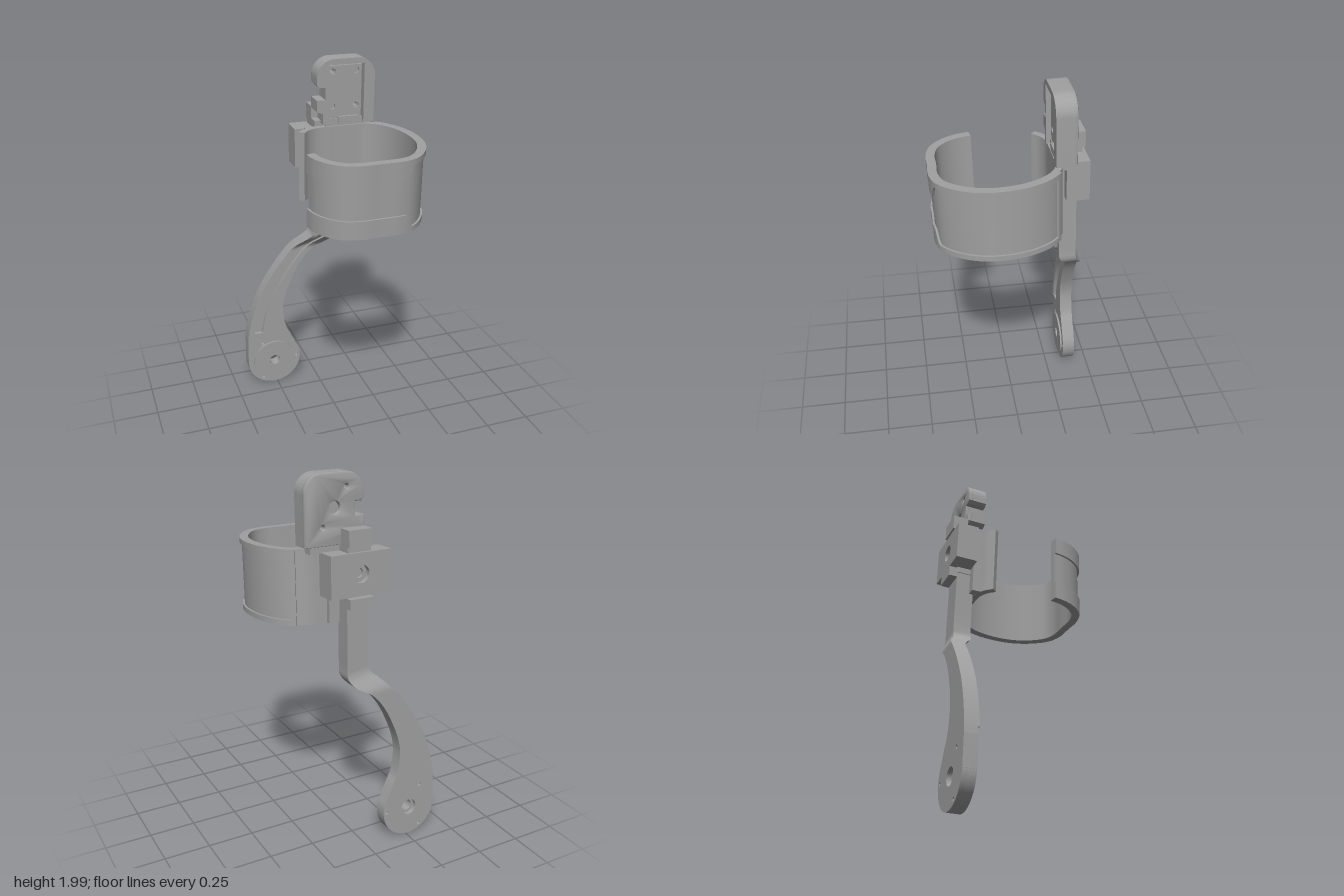
import * as THREE from 'three';
import { toCreasedNormals } from 'three/addons/utils/BufferGeometryUtils.js';

const grey = new THREE.MeshStandardMaterial({ color: 0xa0a0a0 });
grey.name = 'grey plastic';

function add(parent, name, geometry) {
  const mesh = new THREE.Mesh(geometry, grey);
  mesh.name = name;
  parent.add(mesh);
  return mesh;
}

// Box given by its limits on each axis
function box(parent, name, x0, x1, y0, y1, z0, z1) {
  const g = new THREE.BoxGeometry(x1 - x0, y1 - y0, z1 - z0);
  g.translate((x0 + x1) / 2, (y0 + y1) / 2, (z0 + z1) / 2);
  return add(parent, name, g);
}

// Extruded outline between two depths, with round holes [x, y, radius]
function plate(parent, name, shape, z0, z1, holes = [], bevel = 0) {
  const s = shape.clone();
  for (const [x, y, r] of holes) s.holes.push(new THREE.Path().absarc(x, y, r, 0, Math.PI * 2, true));
  const g = new THREE.ExtrudeGeometry(s, {
    depth: z1 - z0 - 2 * bevel, curveSegments: 20, bevelEnabled: bevel > 0,
    bevelSize: bevel, bevelOffset: -bevel, bevelThickness: bevel, bevelSegments: 2,
  });
  g.translate(0, 0, z0 + bevel);
  return add(parent, name, toCreasedNormals(g, 0.6));
}

const disc = (x, y, r) => new THREE.Shape().absarc(x, y, r, 0, Math.PI * 2, false);
const polygon = (pts) => new THREE.Shape(pts.map(([x, y]) => new THREE.Vector2(x, y)));

// Solid through four-cornered cross-sections, closed at both ends
function loft(rows) {
  const tris = [];
  const quad = (a, b, c, d) => tris.push([a, b, c], [a, c, d]);
  for (let i = 0; i + 1 < rows.length; i++) {
    for (let j = 0; j < 4; j++) {
      const k = (j + 1) % 4;
      quad(rows[i][j], rows[i][k], rows[i + 1][k], rows[i + 1][j]);
    }
  }
  const first = rows[0], last = rows[rows.length - 1];
  quad(first[3], first[2], first[1], first[0]);
  quad(last[0], last[1], last[2], last[3]);
  // Turn the faces outwards if the sections run the other way round
  let volume = 0;
  const cross = new THREE.Vector3();
  for (const [a, b, c] of tris) volume += cross.crossVectors(b, c).dot(a);
  const out = [];
  for (const [a, b, c] of tris) for (const p of volume < 0 ? [a, c, b] : [a, b, c]) out.push(p.x, p.y, p.z);
  const g = new THREE.BufferGeometry();
  g.setAttribute('position', new THREE.Float32BufferAttribute(out, 3));
  return toCreasedNormals(g, 0.6);
}

const spline = (pts) => new THREE.CatmullRomCurve3(pts.map(([x, y]) => new THREE.Vector3(x, y, 0)));

// Open wrist cuff: plan curve in x and z, thickened and raised at the rims
function buildCuff(parent) {
  const cuff = new THREE.Group();
  cuff.name = 'cuff';
  parent.add(cuff);
  const path = spline([
    [-0.135, -0.145], [-0.095, -0.183], [-0.04, -0.208], [0.05, -0.213], [0.15, -0.213], [0.24, -0.208],
    [0.29, -0.184], [0.345, -0.125], [0.388, -0.03], [0.404, 0.09], [0.39, 0.2], [0.342, 0.3],
    [0.275, 0.37], [0.2, 0.395], [0.1, 0.395], [0, 0.395], [-0.08, 0.372], [-0.14, 0.315],
    [-0.175, 0.245], [-0.187, 0.18],
  ]);
  const last = 19;
  const band = (name, from, to, inner, outer, low, high) => {
    const rows = [];
    const steps = Math.ceil((to - from) * 6);
    for (let i = 0; i <= steps; i++) {
      const s = from + ((to - from) * i) / steps;
      const p = path.getPoint(s / last), t = path.getTangent(s / last);
      const at = (d, y) => new THREE.Vector3(p.x + t.y * d, y, p.y - t.x * d);
      rows.push([at(inner, low(s)), at(outer, low(s)), at(outer, high(s)), at(inner, high(s))]);
    }
    add(cuff, name, loft(rows));
  };
  const bottom = () => 1.25, top = () => 1.632;
  // Rim grows from a thin lip on the side to a broad band at the front
  const rim = (s) => 0.028 + 0.07 * THREE.MathUtils.smoothstep(s, 12.2, 12.7);
  band('cuffWall', 0, last, -0.022, 0.012, bottom, top);
  band('upperRim', 6, last, 0.005, 0.023, (s) => 1.632 - rim(s), top);
  band('lowerRim', 6, last, 0.005, 0.023, bottom, (s) => 1.25 + rim(s));
  band('sideRim', 6, 6.3, 0.005, 0.023, bottom, top);
}

// Curved lever arm with a groove along its front
function buildArm(parent) {
  const arm = new THREE.Group();
  arm.name = 'arm';
  parent.add(arm);
  const left = spline([
    [-0.035, 1.62], [-0.035, 1.3], [-0.035, 1.04], [-0.043, 1.0], [-0.09, 0.955], [-0.16, 0.885], [-0.23, 0.8],
    [-0.3, 0.695], [-0.35, 0.6], [-0.39, 0.49], [-0.415, 0.39], [-0.423, 0.33],
  ]);
  const right = spline([
    [0.087, 1.62], [0.087, 1.3], [0.087, 1.03], [0.085, 0.97], [0.055, 0.93], [-0.035, 0.875], [-0.105, 0.79],
    [-0.16, 0.68], [-0.195, 0.58], [-0.205, 0.5], [-0.187, 0.38], [-0.163, 0.33],
  ]);
  const steps = 88;
  const depth = (y, low, high) => THREE.MathUtils.lerp(low, high, THREE.MathUtils.smoothstep(y, 0.89, 1.0));
  const back = (y) => depth(y, -0.37, -0.325);
  const front = (y) => depth(y, -0.3, -0.235);
  const floor = (y) => front(y) - 0.018;
  // Strip lying between two distances from the left edge
  const strip = (name, from, to, a, b, zBack, zFront) => {
    const rows = [];
    for (let i = from; i <= to; i++) {
      const l = left.getPoint(i / steps), r = right.getPoint(i / steps), w = l.distanceTo(r);
      const at = (d, z) => {
        const p = l.clone().lerp(r, Math.min(d / w, 1));
        return p.setZ(z(p.y));
      };
      rows.push([at(a, zBack), at(b, zBack), at(b, zFront), at(a, zFront)]);
    }
    add(arm, name, loft(rows));
  };
  const grooveEnd = 83;
  strip('armBody', 0, steps, 0, 1, back, floor);
  strip('outerRail', 0, grooveEnd, 0, 0.034, floor, (y) => front(y) + 0.006);
  strip('innerRail', 0, grooveEnd, 0.084, 1, floor, front);
  strip('grooveEnd', grooveEnd, steps, 0, 1, floor, front);

  // Round pivot end with a stepped hole and three pin holes
  const cx = -0.265, cy = 0.165;
  const end = new THREE.Shape();
  end.moveTo(-0.423, 0.33);
  end.lineTo(-0.427, cy);
  end.absarc(cx, cy, 0.161, Math.PI, Math.PI * 2 + 0.45, false);
  end.quadraticCurveTo(-0.14, 0.28, -0.163, 0.33);
  const pins = [0, 1, 2].map((i) => {
    const a = (i * Math.PI * 2) / 3;
    return [cx + 0.139 * Math.cos(a), cy + 0.139 * Math.sin(a), 0.01];
  });
  plate(arm, 'pivotBack', end, -0.37, -0.345, [[cx, cy, 0.046], ...pins]);
  plate(arm, 'pivotFront', end, -0.345, -0.3, [[cx, cy, 0.032], ...pins]);
  plate(arm, 'pivotBoss', disc(cx, cy, 0.127), -0.3, -0.29, [[cx, cy, 0.032]]);
}

// Clamp block that holds the arm behind the cuff
function buildClamp(parent) {
  const clamp = new THREE.Group();
  clamp.name = 'clamp';
  parent.add(clamp);
  const face = polygon([[-0.136, 1.41], [0.196, 1.41], [0.196, 1.625], [-0.136, 1.625]]);
  plate(clamp, 'clampBack', face, -0.367, -0.34, [[0.03, 1.52, 0.045]]);
  plate(clamp, 'clampMiddle', face, -0.34, -0.31, [[0.03, 1.52, 0.025]]);
  box(clamp, 'clampFront', -0.136, 0.196, 1.41, 1.625, -0.31, -0.25);
  box(clamp, 'cuffMount', -0.083, 0.145, 1.26, 1.63, -0.25, -0.2);
  box(clamp, 'lowerStop', -0.04, 0.095, 1.375, 1.4, -0.372, -0.24);
  box(clamp, 'lowerStopLip', -0.04, 0.095, 1.345, 1.375, -0.372, -0.325);
  box(clamp, 'neck', -0.035, 0.095, 1.62, 1.67, -0.35, -0.22);
  box(clamp, 'upperStop', -0.035, 0.095, 1.65, 1.735, -0.365, -0.28);
}

// Head tray with a screwed inner plate and a hooked left edge
function buildHead(parent) {
  const head = new THREE.Group();
  head.name = 'head';
  parent.add(head);
  const hook = [[-0.035, 1.87], [-0.02, 1.855], [0.012, 1.855], [0.012, 1.79], [-0.035, 1.79], [-0.035, 1.73], [0, 1.715], [0, 1.655]];
  const trace = (s) => {
    s.moveTo(0.285, 1.655);
    s.lineTo(0.285, 1.905);
    s.absarc(0.19, 1.905, 0.095, 0, Math.PI / 2, false);
    s.absarc(0.06, 1.905, 0.095, Math.PI / 2, Math.PI, false);
    for (const [x, y] of hook) s.lineTo(x, y);
    return s;
  };
  const body = trace(new THREE.Shape());
  const rim = trace(new THREE.Shape());
  for (const [x, y] of [[0.028, 1.655], [0.028, 1.97], [0.226, 1.97], [0.226, 1.655]]) rim.lineTo(x, y);
  const screws = [[0.06, 1.93], [0.19, 1.745], [0.19, 1.93], [0.06, 1.745]].map(([x, y]) => [x, y, 0.016]);
  const small = screws.slice(0, 2).map(([x, y]) => [x, y, 0.012]);
  plate(head, 'headBack', body, -0.285, -0.25, [[0.125, 1.835, 0.03], ...small], 0.008);
  plate(head, 'headBody', body, -0.262, -0.222, small);
  plate(head, 'headRim', rim, -0.222, -0.18);
  const inner = polygon([[0.034, 1.66], [0.22, 1.66], [0.22, 1.96], [0.034, 1.96]]);
  plate(head, 'innerPlate', inner, -0.222, -0.205, screws);
  box(head, 'headFoot', 0.02, 0.255, 1.62, 1.68, -0.27, -0.2);
  box(head, 'latchBar', 0.09, 0.2, 1.655, 1.69, -0.205, -0.19);
}

export function createModel() {
  const model = new THREE.Group();
  model.name = 'cuffedLever';
  // Everything leans slightly forward about the middle of the cuff
  const lean = new THREE.Group();
  lean.name = 'leaningAssembly';
  lean.position.set(0, 1.44, 0.003);
  lean.rotation.x = 0.033;
  model.add(lean);
  const assembly = new THREE.Group();
  assembly.name = 'assembly';
  assembly.position.y = -1.44;
  lean.add(assembly);
  buildCuff(assembly);
  const rear = new THREE.Group();
  rear.name = 'rearAssembly';
  rear.position.y = -0.009;
  assembly.add(rear);
  buildArm(rear);
  buildClamp(rear);
  buildHead(rear);
  return model;
}
